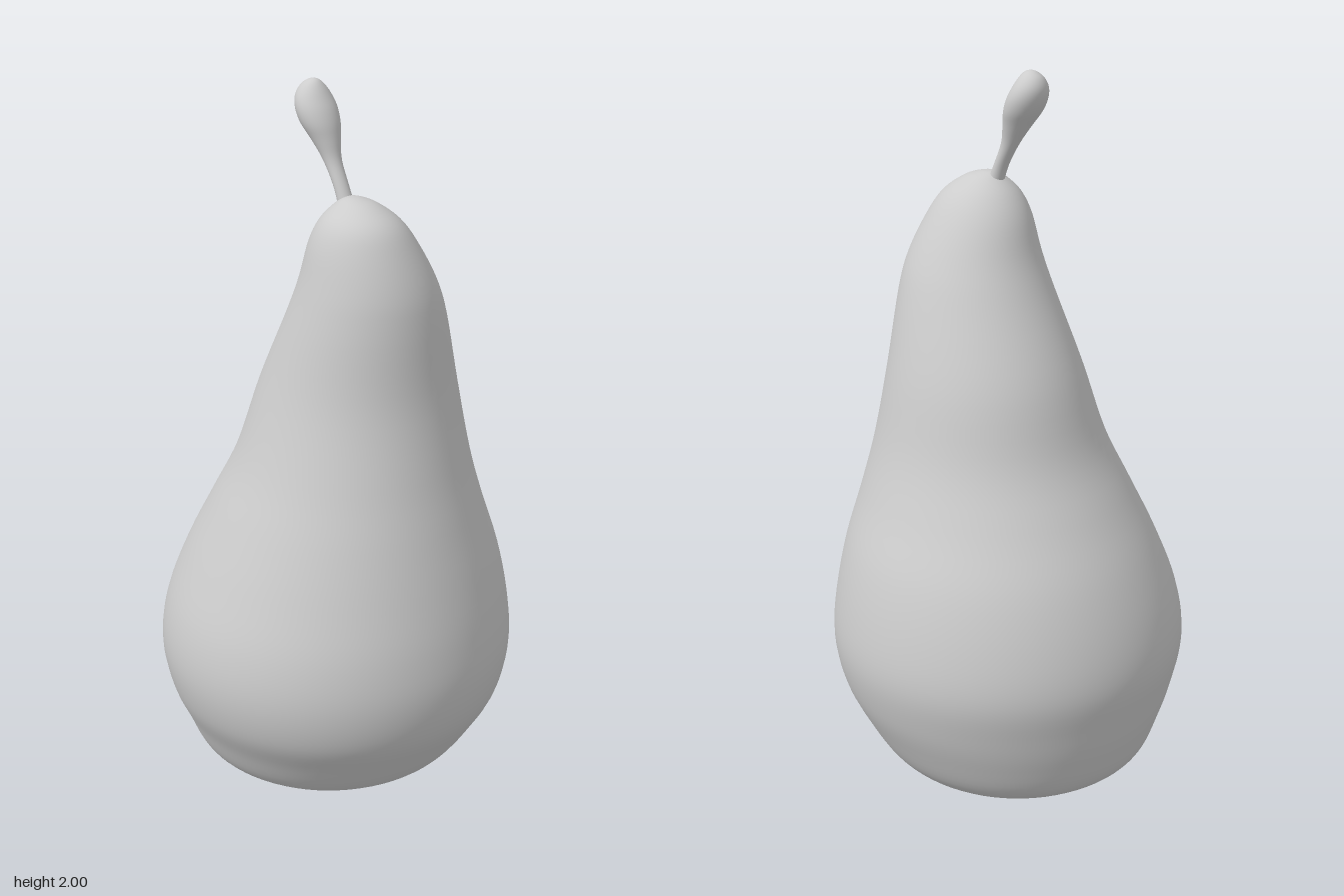
import * as THREE from 'three';

// Smooth skin through elliptical rings: [y, xMin, xMax, zMin, zMax]
function loft(rings, stepsPerRing, sides) {
  const centres = new THREE.CatmullRomCurve3(
    rings.map(([y, a, b, c, d]) => new THREE.Vector3((a + b) / 2, y, (c + d) / 2)), false, 'catmullrom');
  const radii = new THREE.CatmullRomCurve3(
    rings.map(([y, a, b, c, d]) => new THREE.Vector3((b - a) / 2, y, (d - c) / 2)), false, 'catmullrom');
  const rows = (rings.length - 1) * stepsPerRing;
  const positions = [];
  const index = [];
  for (let i = 0; i <= rows; i++) {
    const c = centres.getPoint(i / rows);
    const r = radii.getPoint(i / rows);
    for (let j = 0; j < sides; j++) {
      const angle = (j / sides) * Math.PI * 2;
      positions.push(c.x + r.x * Math.cos(angle), c.y, c.z + r.z * Math.sin(angle));
      if (i === rows) continue;
      const a = i * sides + j;
      const b = i * sides + ((j + 1) % sides);
      index.push(a, a + sides, b, b, a + sides, b + sides);
    }
  }
  const geometry = new THREE.BufferGeometry();
  geometry.setAttribute('position', new THREE.Float32BufferAttribute(positions, 3));
  geometry.setIndex(index);
  geometry.computeVertexNormals();
  return geometry;
}

export function createModel() {
  const group = new THREE.Group();
  group.name = 'pear';
  const grey = new THREE.MeshStandardMaterial({ color: 0xcccccc });
  grey.name = 'light grey';

  const add = (name, geometry) => {
    const mesh = new THREE.Mesh(geometry, grey);
    mesh.name = name;
    group.add(mesh);
    return mesh;
  };

  // Leaning fruit body
  add('body', loft([
    [0, -0.185, 0.18, -0.22, 0.14],
    [0.045, -0.29, 0.30, -0.335, 0.255],
    [0.1, -0.37, 0.375, -0.41, 0.345],
    [0.2, -0.425, 0.43, -0.45, 0.42],
    [0.3, -0.475, 0.47, -0.475, 0.475],
    [0.42, -0.497, 0.493, -0.495, 0.497],
    [0.55, -0.482, 0.48, -0.475, 0.487],
    [0.7, -0.43, 0.44, -0.42, 0.457],
    [0.85, -0.37, 0.375, -0.34, 0.42],
    [1.0, -0.31, 0.32, -0.262, 0.383],
    [1.2, -0.25, 0.272, -0.197, 0.345],
    [1.4, -0.208, 0.207, -0.1, 0.328],
    [1.5, -0.187, 0.165, -0.055, 0.31],
    [1.6, -0.163, 0.11, -0.02, 0.27],
    [1.66, -0.135, 0.065, 0.015, 0.232],
    [1.7, -0.09, 0.015, 0.055, 0.175],
    [1.715, -0.062, -0.018, 0.08, 0.13],
    [1.718, -0.041, -0.039, 0.104, 0.106],
  ], 5, 72));

  // Flat underside
  const base = add('base', new THREE.CircleGeometry(1, 72));
  base.rotation.x = Math.PI / 2;
  base.scale.set(0.1825, 0.18, 1);
  base.position.set(-0.0025, 0, -0.04);

  // Curved stem swelling into a rounded tip
  add('stem', loft([
    [1.68, -0.062, -0.018, 0.06, 0.105],
    [1.74, -0.061, -0.019, 0.038, 0.078],
    [1.8, -0.064, -0.016, 0.002, 0.052],
    [1.85, -0.078, -0.002, -0.035, 0.042],
    [1.89, -0.093, 0.013, -0.066, 0.034],
    [1.925, -0.097, 0.017, -0.083, 0.021],
    [1.955, -0.09, 0.01, -0.087, 0.004],
    [1.98, -0.074, -0.006, -0.078, -0.012],
    [1.995, -0.056, -0.024, -0.06, -0.026],
    [2.0, -0.041, -0.039, -0.043, -0.041],
  ], 4, 32));

  return group;
}
